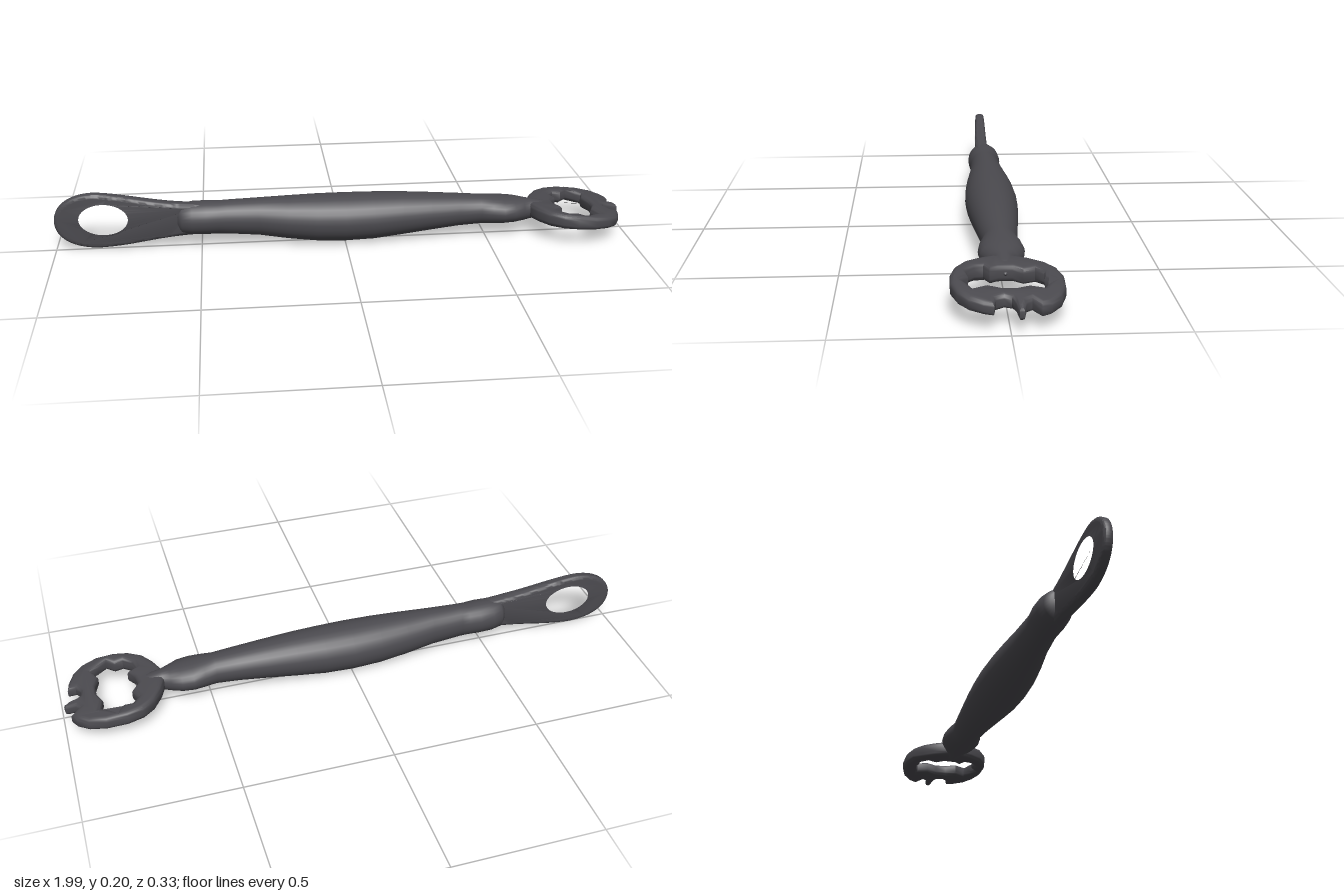
import * as THREE from 'three';
import { toCreasedNormals } from 'three/addons/utils/BufferGeometryUtils.js';

const metal = new THREE.MeshStandardMaterial({ color: 0x4b4a4f });
metal.name = 'dark metal';

// Elliptical cross-sections along x: [x, centre y, half height, half depth]
function loft(rows, sides = 28) {
  const pos = [], idx = [];
  rows.forEach(([x, cy, ry, rz]) => {
    for (let j = 0; j < sides; j++) {
      const a = (j / sides) * Math.PI * 2;
      pos.push(x, cy + Math.cos(a) * ry, Math.sin(a) * rz);
    }
  });
  for (let i = 0; i < rows.length - 1; i++) {
    for (let j = 0; j < sides; j++) {
      const a = i * sides + j, b = i * sides + (j + 1) % sides;
      idx.push(a, b, a + sides, b, b + sides, a + sides);
    }
  }
  const g = new THREE.BufferGeometry();
  g.setAttribute('position', new THREE.Float32BufferAttribute(pos, 3));
  // Orient the faces outward (+y at the first vertex of each ring)
  for (let i = 0; i < idx.length; i += 3) [idx[i + 1], idx[i + 2]] = [idx[i + 2], idx[i + 1]];
  g.setIndex(idx);
  g.computeVertexNormals();
  if (g.attributes.normal.getY(sides * Math.floor(rows.length / 2)) < 0) {
    for (let i = 0; i < idx.length; i += 3) [idx[i + 1], idx[i + 2]] = [idx[i + 2], idx[i + 1]];
    g.setIndex(idx);
    g.computeVertexNormals();
  }
  return g;
}

const vecs = (pts) => pts.map(([x, y]) => new THREE.Vector2(x, y));

// Rounded plate centred on its thickness
function plate(shape, thickness, bevel) {
  const g = new THREE.ExtrudeGeometry(shape, {
    depth: thickness - 2 * bevel, bevelThickness: bevel, bevelSize: bevel,
    bevelOffset: -bevel, bevelSegments: 4, curveSegments: 40,
  });
  return g.translate(0, 0, bevel - thickness / 2);
}

function bend(g, rule) {
  const p = g.attributes.position, v = new THREE.Vector3();
  for (let i = 0; i < p.count; i++) {
    rule(v.fromBufferAttribute(p, i));
    p.setXYZ(i, v.x, v.y, v.z);
  }
  return toCreasedNormals(g, 0.8);
}

export function createModel() {
  const group = new THREE.Group();
  const add = (name, geometry) => {
    const mesh = new THREE.Mesh(geometry, metal);
    mesh.name = name;
    group.add(mesh);
  };

  // Swelling grip with a collar at each end and a neck to the head
  add('handle', loft([
    [-0.585, 0.107, 0.001, 0.001], [-0.58, 0.107, 0.04, 0.03], [-0.565, 0.107, 0.053, 0.047],
    [-0.53, 0.107, 0.058, 0.058], [-0.48, 0.107, 0.059, 0.06], [-0.44, 0.106, 0.058, 0.056],
    [-0.41, 0.106, 0.06, 0.054], [-0.3, 0.103, 0.066, 0.062], [-0.2, 0.096, 0.075, 0.076],
    [-0.1, 0.091, 0.082, 0.086], [0, 0.089, 0.084, 0.09], [0.1, 0.09, 0.082, 0.087],
    [0.2, 0.094, 0.075, 0.08], [0.3, 0.097, 0.066, 0.071], [0.4, 0.099, 0.057, 0.062],
    [0.48, 0.098, 0.052, 0.055], [0.52, 0.097, 0.05, 0.066], [0.56, 0.095, 0.048, 0.072],
    [0.6, 0.094, 0.045, 0.067], [0.635, 0.092, 0.041, 0.048], [0.66, 0.092, 0.037, 0.034],
    [0.7, 0.091, 0.03, 0.034], [0.73, 0.091, 0.024, 0.03], [0.75, 0.09, 0.001, 0.001],
  ]));

  // Upright hanging loop with an oval hole
  const loop = new THREE.Shape();
  loop.moveTo(-0.5, 0.053);
  loop.bezierCurveTo(-0.65, 0.05, -0.72, 0.018, -0.85, 0.012);
  loop.bezierCurveTo(-0.94, 0.012, -1, 0.05, -1, 0.11);
  loop.bezierCurveTo(-1, 0.17, -0.94, 0.21, -0.86, 0.21);
  loop.bezierCurveTo(-0.76, 0.205, -0.66, 0.17, -0.5, 0.163);
  const eye = new THREE.Path();
  eye.absellipse(-0.832, 0.118, 0.098, 0.07, 0, Math.PI * 2, true);
  loop.holes.push(eye);
  add('hangingLoop', bend(plate(loop, 0.046, 0.014), (v) => {
    const t = THREE.MathUtils.clamp((-0.6 - v.x) / 0.4, 0, 1);
    v.z = v.z * (1 - 0.35 * t) + 0.007 - 0.012 * t;
  }));

  // Flat opener head: outline drawn as x, -z, with toothed opening
  const head = new THREE.Shape(vecs([
    [0.655, -0.03], [0.675, -0.075], [0.705, -0.12], [0.75, -0.15], [0.8, -0.163], [0.86, -0.163],
    [0.91, -0.145], [0.945, -0.115], [0.965, -0.075], [0.972, -0.045], [0.945, -0.04],
    [0.93, -0.015], [0.935, 0.005], [0.955, 0.015], [0.992, 0.022], [0.99, 0.037], [0.955, 0.045],
    [0.945, 0.06], [0.975, 0.085], [0.96, 0.115], [0.925, 0.145], [0.87, 0.163],
    [0.8, 0.165], [0.745, 0.15], [0.705, 0.12], [0.675, 0.075], [0.655, 0.03],
  ]));
  head.holes.push(new THREE.Path(vecs([
    [0.745, 0.02], [0.768, 0.05], [0.752, 0.085], [0.775, 0.11], [0.805, 0.108], [0.83, 0.132],
    [0.86, 0.11], [0.878, 0.1], [0.866, 0.06], [0.882, 0.02], [0.882, -0.02], [0.866, -0.06],
    [0.885, -0.1], [0.86, -0.113], [0.83, -0.133], [0.805, -0.11], [0.775, -0.115],
    [0.745, -0.09], [0.738, -0.065], [0.768, -0.048], [0.748, -0.02],
  ])));
  const headGeometry = plate(head, 0.052, 0.016).rotateX(-Math.PI / 2);
  add('openerHead', bend(headGeometry, (v) => {
    const t = (v.x - 0.65) / 0.34;
    v.y = v.y * (1.1 - 0.3 * t) + 0.093 - 0.01 * t - 0.02 * t * t * t * t + v.z * 0.03;
  }));

  return group;
}
